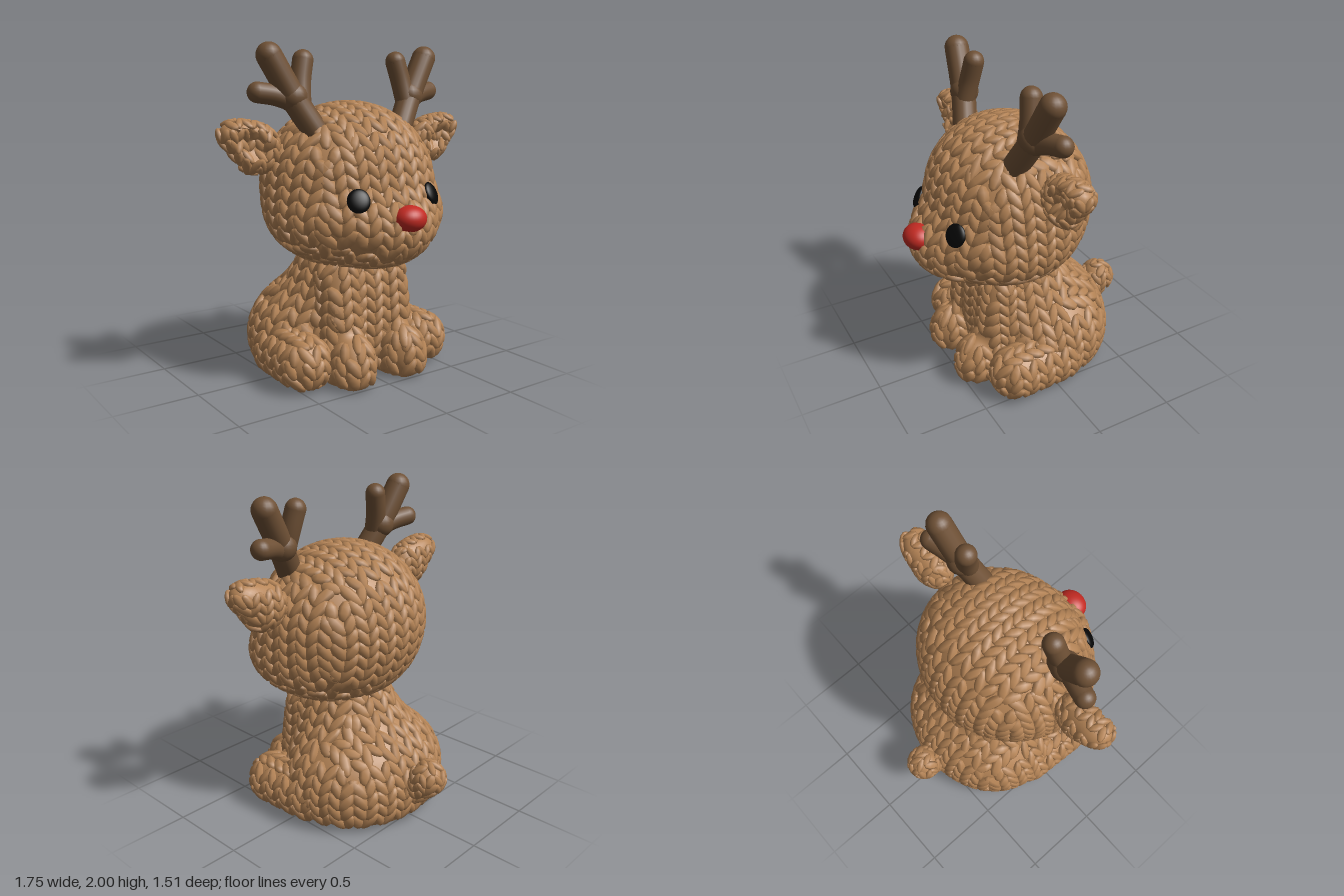
import * as THREE from 'three';
import { mergeGeometries, toCreasedNormals } from 'three/addons/utils/BufferGeometryUtils.js';

const V = (x, y, z) => new THREE.Vector3(x, y, z);
const material = (name, color) => {
  const m = new THREE.MeshStandardMaterial({ color });
  m.name = name;
  return m;
};

// Implicit shapes: negative inside, positive outside
const ellipsoid = (cx, cy, cz, rx, ry, rz, tilt = 0) => {
  const c = Math.cos(tilt), s = Math.sin(tilt), k = Math.min(rx, ry, rz);
  return p => {
    const x = p.x - cx, y = p.y - cy;
    return (Math.hypot((x * c + y * s) / rx, (y * c - x * s) / ry, (p.z - cz) / rz) - 1) * k;
  };
};
const capsule = (a, b, ra, rb = ra) => {
  const ab = b.clone().sub(a), q = V(0, 0, 0);
  return p => {
    const t = THREE.MathUtils.clamp(q.copy(p).sub(a).dot(ab) / ab.lengthSq(), 0, 1);
    return q.copy(a).addScaledVector(ab, t).distanceTo(p) - ra - (rb - ra) * t;
  };
};
const blend = (f, g, k) => p => {
  const a = f(p), b = g(p), h = Math.max(k - Math.abs(a - b), 0) / k;
  return Math.min(a, b) - h * h * k / 4;
};
const carve = (f, g, k) => {
  const inverse = blend(p => -f(p), g, k);
  return p => -inverse(p);
};

// Surface point between an inside and an outside point
function bisect(f, inside, outside) {
  const a = inside.clone(), b = outside.clone(), m = V(0, 0, 0);
  for (let i = 0; i < 18; i++) {
    m.addVectors(a, b).multiplyScalar(0.5);
    (f(m) < 0 ? a : b).copy(m);
  }
  return m.clone();
}

function gradient(f, p) {
  const e = 0.004;
  const d = ['x', 'y', 'z'].map(k => {
    const a = p.clone(), b = p.clone();
    a[k] += e;
    b[k] -= e;
    return f(a) - f(b);
  });
  return V(...d).normalize();
}

// Smooth padding under the stitches, cut flat at the ground
function padding(part) {
  const f = p => Math.max(part.f(p), -p.y);
  const geo = new THREE.SphereGeometry(1, 40, 28);
  const pos = geo.attributes.position, d = V(0, 0, 0);
  for (let i = 0; i < pos.count; i++) {
    d.fromBufferAttribute(pos, i).multiplyScalar(1.3).add(part.center);
    const p = bisect(f, part.center, d);
    pos.setXYZ(i, p.x, p.y, p.z);
  }
  return toCreasedNormals(geo, 0.8);
}

// Columns of V stitches laid on the surface along each of the three axes
function stitches(part, others) {
  const { f, center, size = 1 } = part;
  const col = 0.116 * size, row = 0.076 * size, reach = 0.8;
  const unit = new THREE.SphereGeometry(1, 6, 5);
  const list = [], p = V(0, 0, 0), matrix = new THREE.Matrix4();
  const planes = [['z', 'x', 'y'], ['y', 'x', 'z'], ['x', 'z', 'y']];
  for (const [axis, u, v] of planes) for (const sign of [1, -1]) {
    const i0 = Math.floor((center[u] - reach) / col), i1 = Math.ceil((center[u] + reach) / col);
    const j0 = Math.floor((center[v] - reach) / row), j1 = Math.ceil((center[v] + reach) / row);
    for (let i = i0; i <= i1; i++) for (let j = j0; j <= j1; j++) for (const side of [-1, 1]) {
      p[u] = i * col + side * col * 0.25;
      p[v] = j * row;
      let t = reach;
      do {
        p[axis] = center[axis] + sign * t;
        t -= 0.02;
      } while (f(p) > 0 && t > -reach);
      if (t <= -reach) continue;
      const outside = p.clone();
      outside[axis] += sign * 0.02;
      const hit = bisect(f, p, outside), n = gradient(f, hit);
      const main = Math.abs(n[axis]);
      if (main < Math.abs(n[u]) || main < Math.abs(n[v]) || n[axis] * sign < 0) continue;
      if (hit.y < 0.02 || others.some(o => o.f(hit) < -0.03)) continue;

      // Slant along the tangent plane and stretch with the slope
      const along = V(0, 0, 0);
      along[u] = side * 0.03 * size;
      along[v] = (axis === 'y' ? -sign : 1) * 0.054 * size;
      along[axis] = -(n[u] * along[u] + n[v] * along[v]) / n[axis];
      const length = along.length();
      const width = 0.031 * size * Math.min(1.4, Math.hypot(1, n[u] / n[axis]));
      along.normalize();
      const across = V(0, 0, 0).crossVectors(along, n);
      matrix.makeBasis(across.multiplyScalar(width), along.multiplyScalar(length), n.multiplyScalar(0.027 * size));
      matrix.setPosition(hit);
      const stitch = unit.clone().applyMatrix4(matrix), pos = stitch.attributes.position;
      for (let k = 0; k < pos.count; k++) pos.setY(k, Math.max(0, pos.getY(k)));
      list.push(stitch);
    }
  }
  return mergeGeometries(list);
}

function knitParts() {
  const skull = ellipsoid(0, 1.168, 0.07, 0.53, 0.477, 0.48);
  const cheeks = ellipsoid(0, 1.0, 0.155, 0.54, 0.31, 0.465);
  const muzzle = ellipsoid(0, 0.93, 0.41, 0.26, 0.19, 0.27);
  const rump = ellipsoid(0, 0.2, -0.12, 0.54, 0.4, 0.445);
  const chest = ellipsoid(0, 0.5, 0.03, 0.31, 0.4, 0.32);
  const parts = [
    { name: 'head', f: blend(blend(skull, cheeks, 0.06), muzzle, 0.1), center: V(0, 1.08, 0.12) },
    { name: 'body', f: blend(rump, chest, 0.14), center: V(0, 0.28, -0.06) },
    { name: 'tail', f: capsule(V(0, 0.23, -0.57), V(0, 0.315, -0.64), 0.085, 0.1), center: V(0, 0.28, -0.61), size: 0.75 },
  ];
  for (const s of [1, -1]) {
    const label = s > 0 ? 'left' : 'right';
    const earLobe = blend(
      ellipsoid(s * 0.64, 1.405, 0.07, 0.14, 0.135, 0.1),
      ellipsoid(s * 0.755, 1.482, 0.07, 0.103, 0.075, 0.085, s * 0.2), 0.07);
    const scoop = ellipsoid(s * 0.69, 1.425, 0.19, 0.13, 0.075, 0.1, s * 0.5);
    const leg = capsule(V(s * 0.17, 0.62, 0.21), V(s * 0.185, 0.08, 0.28), 0.128);
    const foot = ellipsoid(s * 0.19, 0.12, 0.385, 0.125, 0.175, 0.145);
    parts.push(
      { name: label + 'FrontLeg', f: blend(leg, foot, 0.05), center: V(s * 0.182, 0.22, 0.3) },
      { name: label + 'HindLeg', f: capsule(V(s * 0.44, 0.15, 0.255), V(s * 0.4, 0.15, -0.05), 0.148, 0.17), center: V(s * 0.42, 0.15, 0.12) },
      { name: label + 'Ear', f: carve(earLobe, scoop, 0.03), center: V(s * 0.69, 1.43, 0.03), size: 0.75 });
  }
  return parts;
}

// Antler: rounded, gently bent tines
function antler(s, mat) {
  const group = new THREE.Group();
  group.name = s > 0 ? 'leftAntler' : 'rightAntler';
  const tines = [
    ['mainTine', 0.075, [0.315, 1.5, 0.19], [0.43, 1.69, 0.14], [0.565, 1.922, 0.11]],
    ['innerTine', 0.062, [0.39, 1.62, 0.16], [0.37, 1.77, 0.125], [0.34, 1.898, 0.105]],
    ['outerTine', 0.06, [0.39, 1.65, 0.15], [0.52, 1.7, 0.11], [0.625, 1.718, 0.08]],
  ];
  for (const [name, r, ...points] of tines) {
    const path = points.map(([x, y, z]) => V(s * x, y, z));
    const tube = new THREE.TubeGeometry(new THREE.CatmullRomCurve3(path), 14, r, 18);
    const caps = [path[0], path[2]].map(c => new THREE.SphereGeometry(r, 18, 14).translate(c.x, c.y, c.z));
    const mesh = new THREE.Mesh(mergeGeometries([tube, ...caps]), mat);
    mesh.name = name;
    group.add(mesh);
  }
  const fork = new THREE.Mesh(new THREE.SphereGeometry(0.088, 20, 14), mat);
  fork.name = 'fork';
  fork.position.set(s * 0.425, 1.69, 0.135);
  group.add(fork);
  return group;
}

export function createModel() {
  const model = new THREE.Group();
  model.name = 'knittedReindeer';
  const wool = material('tanWool', 0xb58456);
  const horn = material('brownAntler', 0x6e5035);
  const red = material('redNose', 0xc22a22);
  const black = material('blackEye', 0x060606);

  const parts = knitParts();
  for (const part of parts) {
    const group = new THREE.Group();
    group.name = part.name;
    const base = new THREE.Mesh(padding(part), wool);
    base.name = part.name + 'Padding';
    const knit = new THREE.Mesh(stitches(part, parts.filter(o => o !== part)), wool);
    knit.name = part.name + 'Stitches';
    group.add(base, knit);
    model.add(group);
  }

  const head = parts[0];
  for (const s of [1, -1]) {
    model.add(antler(s, horn));

    // Eye: flattened bead resting on the stitches
    const p = bisect(head.f, V(s * 0.255, 1.122, 0.1), V(s * 0.255, 1.122, 1));
    const n = gradient(head.f, p);
    const eye = new THREE.Mesh(new THREE.SphereGeometry(1, 28, 18), black);
    eye.name = s > 0 ? 'leftEye' : 'rightEye';
    eye.scale.set(0.066, 0.07, 0.026);
    eye.position.copy(p).addScaledVector(n, 0.021);
    eye.lookAt(p.clone().add(n));
    model.add(eye);
  }

  const nose = new THREE.Mesh(new THREE.SphereGeometry(1, 32, 22), red);
  nose.name = 'nose';
  nose.scale.set(0.102, 0.076, 0.09);
  nose.position.set(0, 1.024, 0.667);
  model.add(nose);
  return model;
}
